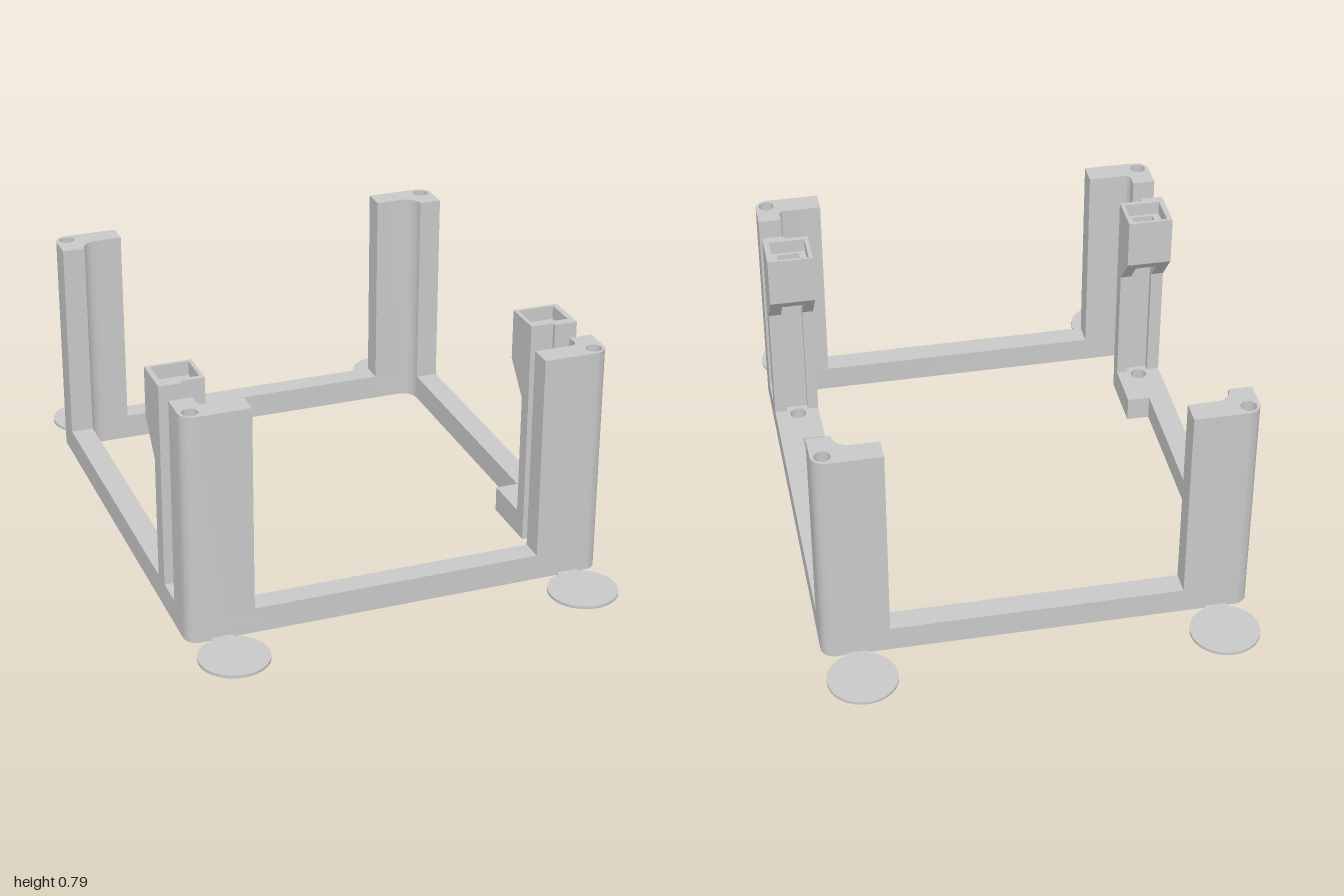
import * as THREE from 'three';
import { toCreasedNormals } from 'three/addons/utils/BufferGeometryUtils.js';

const H = 0.787, RAIL = 0.087;      // total height, rail height
const X = 0.708, Z = 0.762;         // outer half sizes of the frame
const XI = 0.631, ZI = 0.683;       // inner half sizes of the frame

// Traces corners [x, z, radius] into a shape or path; z is stored as -y.
function trace(path, corners) {
  const n = corners.length;
  const towards = (a, b, d) => {
    const l = Math.hypot(b[0] - a[0], b[1] - a[1]);
    return [a[0] + (b[0] - a[0]) * d / l, a[1] + (b[1] - a[1]) * d / l];
  };
  corners.forEach((p, i) => {
    const r = p[2] || 0;
    const a = r ? towards(p, corners[(i + n - 1) % n], r) : p;
    if (i === 0) path.moveTo(a[0], -a[1]); else path.lineTo(a[0], -a[1]);
    if (r) {
      const b = towards(p, corners[(i + 1) % n], r);
      const c = towards(a, p, r * 0.552), d = towards(b, p, r * 0.552);
      path.bezierCurveTo(c[0], -c[1], d[0], -d[1], b[0], -b[1]);
    }
  });
  path.closePath();
  return path;
}

const rect = (x0, x1, z0, z1) => [[x0, z0], [x1, z0], [x1, z1], [x0, z1]];

function ngon(x, z, r, n) {
  return Array.from({ length: n }, (_, i) => {
    const a = i / n * Math.PI * 2;
    return [x + r * Math.cos(a), z + r * Math.sin(a)];
  });
}

// Plan outline raised from y0 to y1; the outline must run counter-clockwise
// so that the walls of its holes face the right way.
function raise(outline, holes, y0, y1) {
  const clockwise = THREE.ShapeUtils.isClockWise(outline.map(([x, z]) => new THREE.Vector2(x, -z)));
  const shape = trace(new THREE.Shape(), clockwise ? [...outline].reverse() : outline);
  holes.forEach(h => shape.holes.push(trace(new THREE.Path(), h)));
  const g = new THREE.ExtrudeGeometry(shape, { depth: y1 - y0, bevelEnabled: false, curveSegments: 8 });
  g.rotateX(-Math.PI / 2).translate(0, y0, 0);
  return toCreasedNormals(g, 0.6);
}

// Side profile of [z, y] points extended from x0 to x1
function widen(profile, x0, x1) {
  const shape = new THREE.Shape(profile.map(([z, y]) => new THREE.Vector2(-z, y)));
  const g = new THREE.ExtrudeGeometry(shape, { depth: Math.abs(x1 - x0), bevelEnabled: false });
  return g.rotateY(Math.PI / 2).translate(Math.min(x0, x1), 0, 0);
}

export function createModel() {
  const model = new THREE.Group();
  model.name = 'cornerFrame';
  const grey = new THREE.MeshStandardMaterial({ color: 0xc8c8c8 });
  grey.name = 'grey plastic';
  const add = (parent, name, geometry) => {
    const m = new THREE.Mesh(geometry, grey);
    m.name = name;
    parent.add(m);
    return m;
  };

  // Base frame with two inward bolt blocks; hex nut recesses underneath
  const bx = 0.553, bz0 = 0.285, bz1 = 0.505, hx = 0.628, hz = 0.435;
  const outer = [[-X, -Z, 0.045], [X, -Z, 0.045], [X, Z, 0.045], [-X, Z, 0.045]];
  const inner = [
    [-XI, -ZI, 0.055], [XI, -ZI, 0.055], [XI, bz0], [bx, bz0], [bx, bz1], [XI, bz1],
    [XI, ZI, 0.02], [-XI, ZI, 0.02], [-XI, bz1], [-bx, bz1], [-bx, bz0], [-XI, bz0],
  ];
  const boltHoles = (r, n) => [-1, 1].map(s => ngon(s * hx, hz, r, n));
  add(model, 'frameBottom', raise(outer, [inner, ...boltHoles(0.045, 6)], 0, 0.035));
  add(model, 'frameTop', raise(outer, [inner, ...boltHoles(0.028, 24)], 0.035, RAIL));

  for (const sx of [-1, 1]) {
    for (const sz of [-1, 1]) {
      // L-shaped corner post with a blind hole in the top
      const fillet = sz < 0 ? 0.055 : 0.02;
      const post = [
        [0.485, ZI], [XI, ZI, fillet], [XI, 0.628], [X, 0.628], [X, Z, 0.045], [0.485, Z],
      ].map(([x, z, r]) => [sx * x, sz * z, r]);
      const px = sx * 0.67, pz = sz * 0.725;
      add(model, 'cornerPost', raise(post, [ngon(px, pz, 0.026, 24)], RAIL, H));
      add(model, 'postHoleFloor', new THREE.CylinderGeometry(0.026, 0.026, 0.02, 24))
        .position.set(px, H - 0.12, pz);

      // Thin round foot pad and its neck
      add(model, 'footPad', new THREE.CylinderGeometry(0.115, 0.115, 0.01, 48))
        .position.set(sx * 0.595, 0.005, sz * 0.885);
      add(model, 'padNeck', new THREE.BoxGeometry(0.07, 0.009, 0.06))
        .position.set(sx * 0.595, 0.0045, sz * 0.775);
    }

    // Bracket column: cheeks around a channel, overhanging head with a pocket
    const column = new THREE.Group();
    column.name = 'bracketColumn';
    model.add(column);
    const zBack = 0.367, zFoot = 0.457, zFront = 0.507;
    const yLow = 0.507, yHigh = 0.615, yPocket = 0.74;
    const c0 = 0.591, c1 = 0.665;             // channel sides
    const lip = 0.397, web = 0.478;           // channel back and front
    const cheek = [
      [zFront, RAIL], [zFoot, RAIL], [zFoot, yLow], [zBack, yHigh], [zBack, yPocket], [zFront, yPocket],
    ];
    add(column, 'innerCheek', widen(cheek, sx * bx, sx * c0));
    add(column, 'outerCheek', widen(cheek, sx * c1, sx * X));
    add(column, 'channelWall', widen(
      [[web, RAIL], [web, yPocket], [zFront, yPocket], [zFront, RAIL]], sx * c0, sx * c1));
    const yLip = yHigh - (yHigh - yLow) * (lip - zBack) / (zFoot - zBack);
    add(column, 'headLip', widen(
      [[zBack, yHigh], [zBack, yPocket], [lip, yPocket], [lip, yLip]], sx * c0, sx * c1));
    const mirror = pts => pts.map(([x, z]) => [sx * x, z]);
    add(column, 'pocketRim', raise(
      mirror(rect(bx, X, zBack, zFront)), [mirror(rect(0.566, 0.69, 0.378, 0.49))], yPocket, H));
    add(column, 'frontFin', raise(mirror(rect(XI, X, zFront, 0.522)), [], RAIL, H));
  }
  return model;
}
